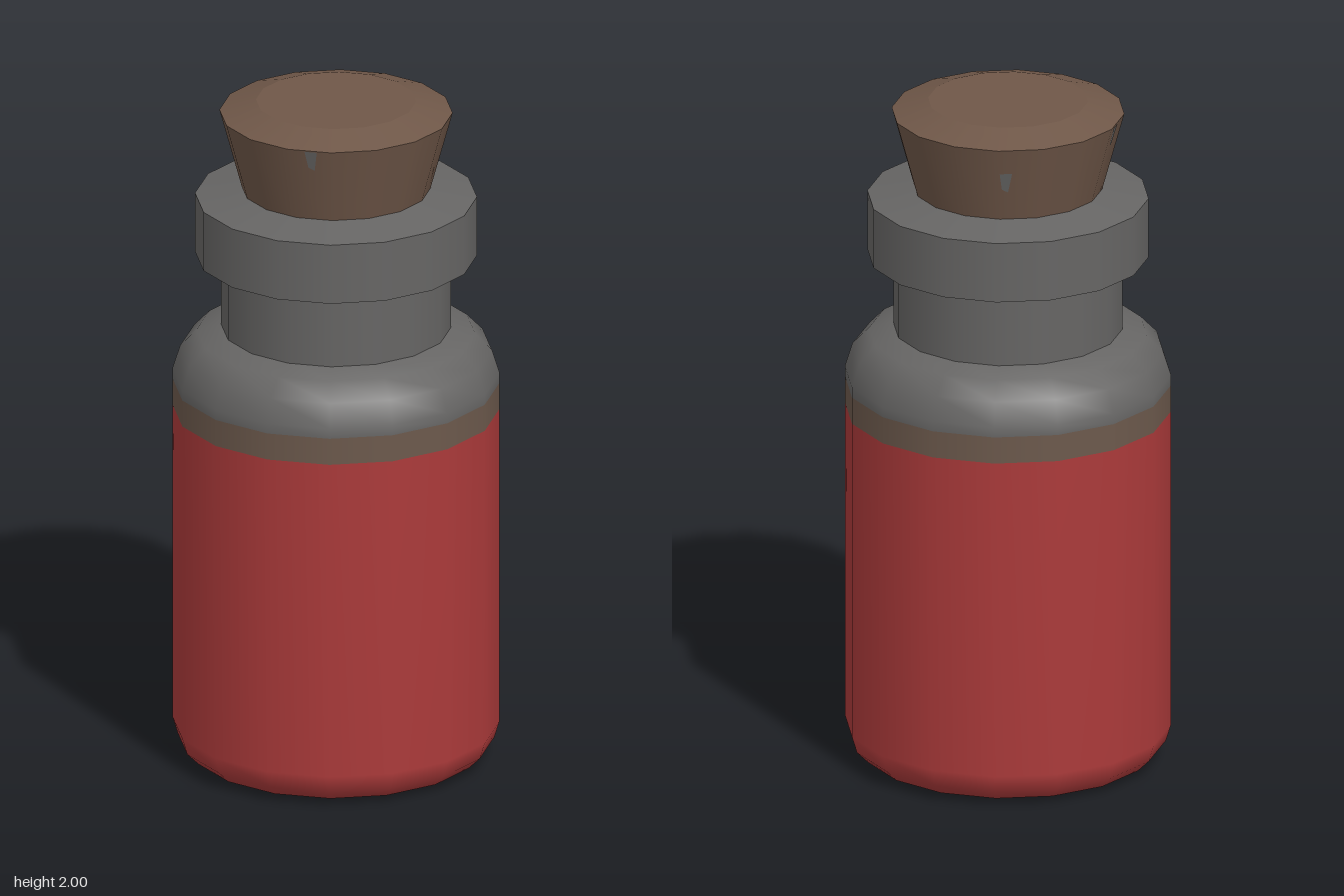
import * as THREE from 'three';

const SIDES = 16;
const mat = (name, color) => new THREE.MeshStandardMaterial({ name, color });

// One smooth lathe per profile run; separate runs keep the edges between them sharp.
function turned(name, material, runs) {
  const group = new THREE.Group();
  group.name = name;
  runs.forEach((run, i) => {
    const points = run.map(([r, y]) => new THREE.Vector2(r, y));
    const mesh = new THREE.Mesh(new THREE.LatheGeometry(points, SIDES), material);
    mesh.name = `${name}Surface${i + 1}`;
    group.add(mesh);
  });
  return group;
}

export function createModel() {
  const glass = mat('grey glass', 0x666564);
  const liquid = mat('red liquid', 0xab3a3a);
  const rim = mat('brown liquid rim', 0x6c594c);
  const cork = mat('brown cork', 0x6f5748);

  const model = new THREE.Group();
  model.name = 'corkedBottle';

  // Body: rounded base, liquid edge and clear shoulder
  model.add(turned('filledBody', liquid, [
    [[0, 0], [0.37, 0], [0.42, 0.015], [0.455, 0.05], [0.47, 0.1], [0.47, 1.06]],
  ]));
  model.add(turned('liquidEdge', rim, [[[0.47, 1.06], [0.47, 1.14]]]));
  model.add(turned('shoulder', glass, [
    [[0.47, 1.14], [0.47, 1.17], [0.448, 1.24], [0.4, 1.29], [0.32, 1.31]],
  ]));

  // Neck and lip
  model.add(turned('neck', glass, [[[0.33, 1.305], [0.33, 1.53]]]));
  model.add(turned('lip', glass, [
    [[0.33, 1.53], [0.405, 1.53]],
    [[0.405, 1.53], [0.405, 1.71]],
    [[0.405, 1.71], [0.26, 1.737]],
  ]));

  // Tapered stopper with a bevelled top
  model.add(turned('stopper', cork, [
    [[0.262, 1.7], [0.335, 1.967]],
    [[0.335, 1.967], [0.23, 2]],
    [[0.23, 2], [0, 2]],
  ]));

  // Small grey nicks on the stopper's side
  const nick = new THREE.Shape([[-0.018, 0.03], [-0.01, -0.025], [0.008, -0.035], [0.018, 0.03]]
    .map(([x, y]) => new THREE.Vector2(x, y)));
  [[-33, 1.935], [161, 1.86], [231, 1.935]].forEach(([degrees, y], i) => {
    const turn = THREE.MathUtils.degToRad(degrees);
    // Distance to the flat side that holds the nick
    const step = (Math.PI * 2) / SIDES;
    const facet = (Math.floor(turn / step) + 0.5) * step;
    const radius = (0.335 - (1.967 - y) * 0.273) * Math.cos(step / 2) + 0.002;
    const offset = Math.tan(turn - facet) * radius;
    const mesh = new THREE.Mesh(new THREE.ShapeGeometry(nick), glass);
    mesh.name = `stopperNick${i + 1}`;
    mesh.rotation.set(Math.atan(0.273), facet, 0, 'YXZ');
    mesh.position.set(
      Math.sin(facet) * radius + Math.cos(facet) * offset,
      y,
      Math.cos(facet) * radius - Math.sin(facet) * offset,
    );
    model.add(mesh);
  });

  return model;
}
